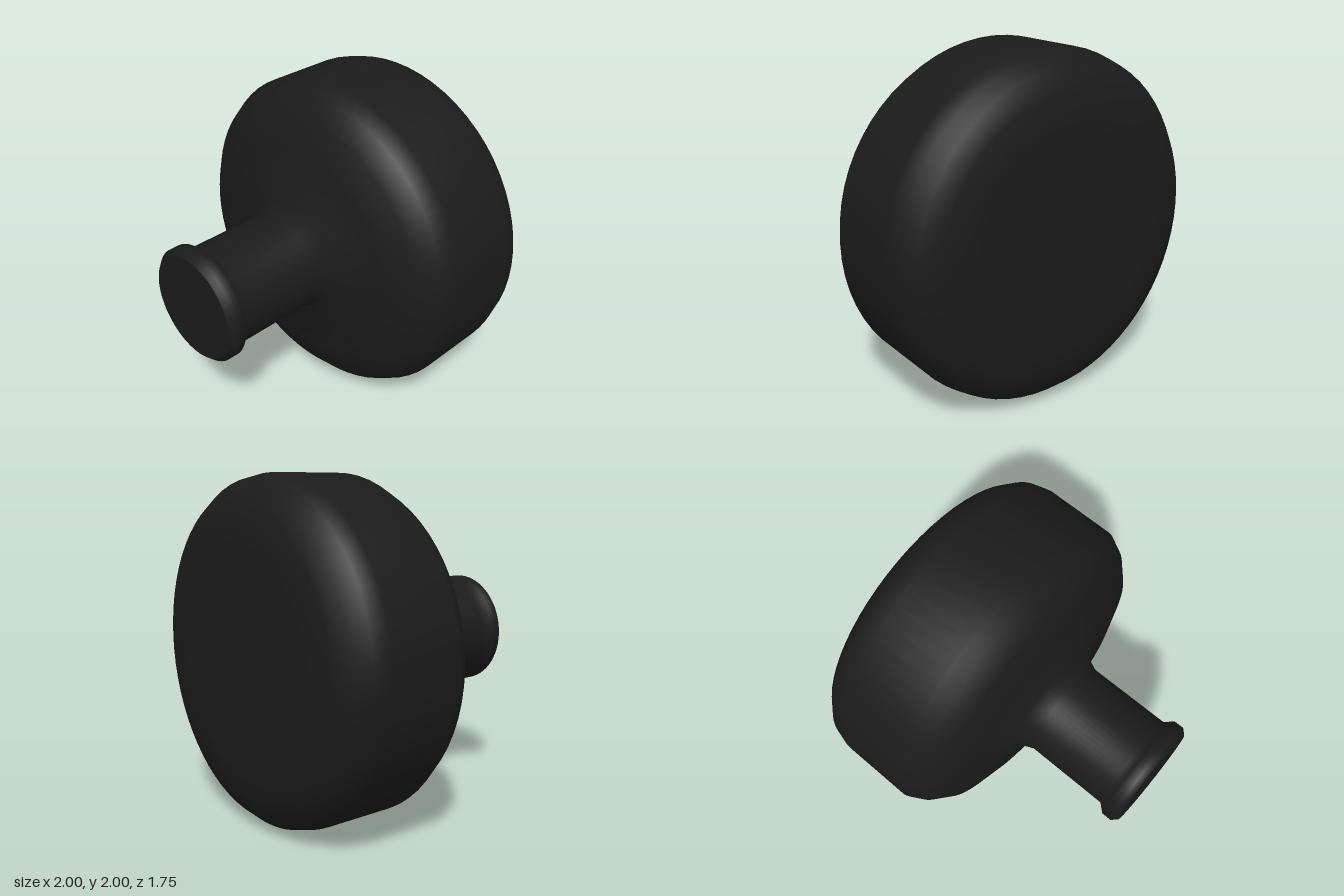
import * as THREE from 'three';

export function createModel() {
  const group = new THREE.Group();
  const black = new THREE.MeshStandardMaterial({ color: 0x1b1b1b });
  black.name = 'matteBlack';

  // Turn a [radius, z] profile, listed back to front, around the knob's axis at y = 1
  const turn = (name, profile) => {
    const points = profile.map(([r, z]) => new THREE.Vector2(r, z));
    const mesh = new THREE.Mesh(new THREE.LatheGeometry(points, 64).rotateX(Math.PI / 2), black);
    mesh.name = name;
    mesh.position.y = 1;
    group.add(mesh);
  };

  // Rounded head flowing smoothly into the stem and its flared collar
  turn('headAndStem', [
    [0, -0.875], [0.6, -0.875], [0.655, -0.875], [0.8, -0.85], [0.91, -0.8],
    [0.975, -0.725], [1, -0.625], [1, -0.19], [0.95, -0.095], [0.845, 0],
    [0.65, 0.063], [0.342, 0.122], [0.3, 0.22], [0.3, 0.735],
    [0.343, 0.782], [0.343, 0.843], [0.312, 0.875],
  ]);

  // Flat end face
  turn('endFace', [[0.312, 0.875], [0, 0.875]]);

  return group;
}
